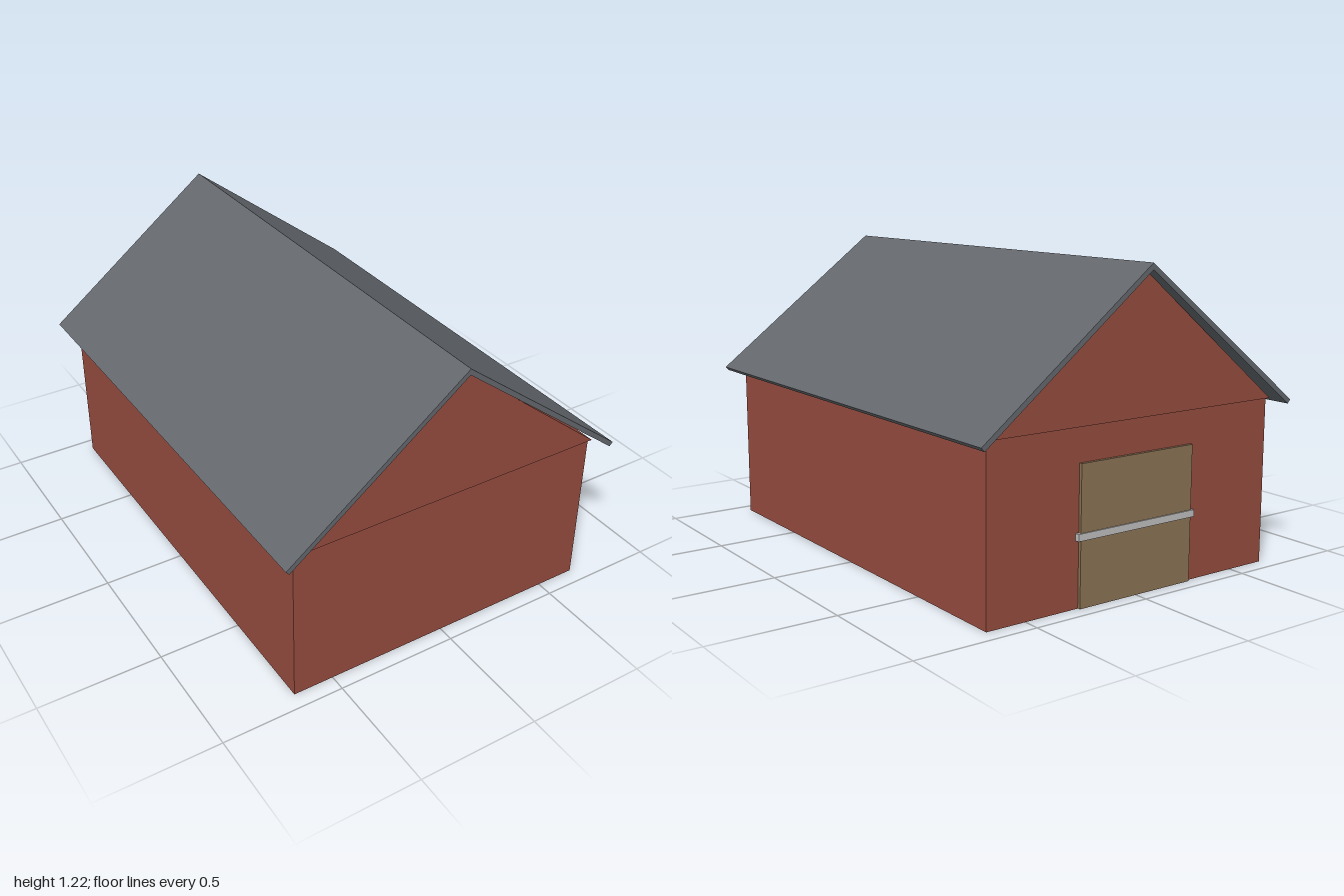
import * as THREE from 'three';

const paint = (name, color) => {
  const m = new THREE.MeshStandardMaterial({ color });
  m.name = name;
  return m;
};

export function createModel() {
  const barn = new THREE.Group();
  barn.name = 'barn';
  const red = paint('barn red', 0x964c40);
  const slate = paint('slate grey', 0x64686d);
  const wood = paint('weathered wood', 0x8b7355);
  const metal = paint('pale metal', 0xc0c0c0);

  const add = (name, geometry, material) => {
    const mesh = new THREE.Mesh(geometry, material);
    mesh.name = name;
    barn.add(mesh);
    return mesh;
  };
  const box = (name, w, h, d, y, z, material) =>
    add(name, new THREE.BoxGeometry(w, h, d), material).position.set(0, y, z);
  // Profile in x and y, extruded along z and centred on it
  const prism = (name, points, depth, material) => {
    const shape = new THREE.Shape(points.map(([x, y]) => new THREE.Vector2(x, y)));
    const geometry = new THREE.ExtrudeGeometry(shape, { depth, bevelEnabled: false });
    add(name, geometry.translate(0, 0, -depth / 2), material);
  };

  // Walls and the slightly overhanging gable block
  box('walls', 1.333, 0.667, 1.867, 0.3335, 0, red);
  prism('gable', [[-0.667, 0.667], [0.667, 0.667], [0, 1.2]], 1.906, red);

  // Two thin roof slabs meeting at the ridge
  for (const [name, s] of [['leftRoof', 1], ['rightRoof', -1]]) {
    const slab = [[0, 1.224], [0, 1.199], [s * 0.719, 0.646], [s * 0.733, 0.661]];
    prism(name, slab, 2, slate);
  }

  // Back door with its cross bar
  box('door', 0.533, 0.533, 0.014, 0.267, -0.939, wood);
  box('doorBar', 0.56, 0.027, 0.02, 0.267, -0.941, metal);

  return barn;
}
